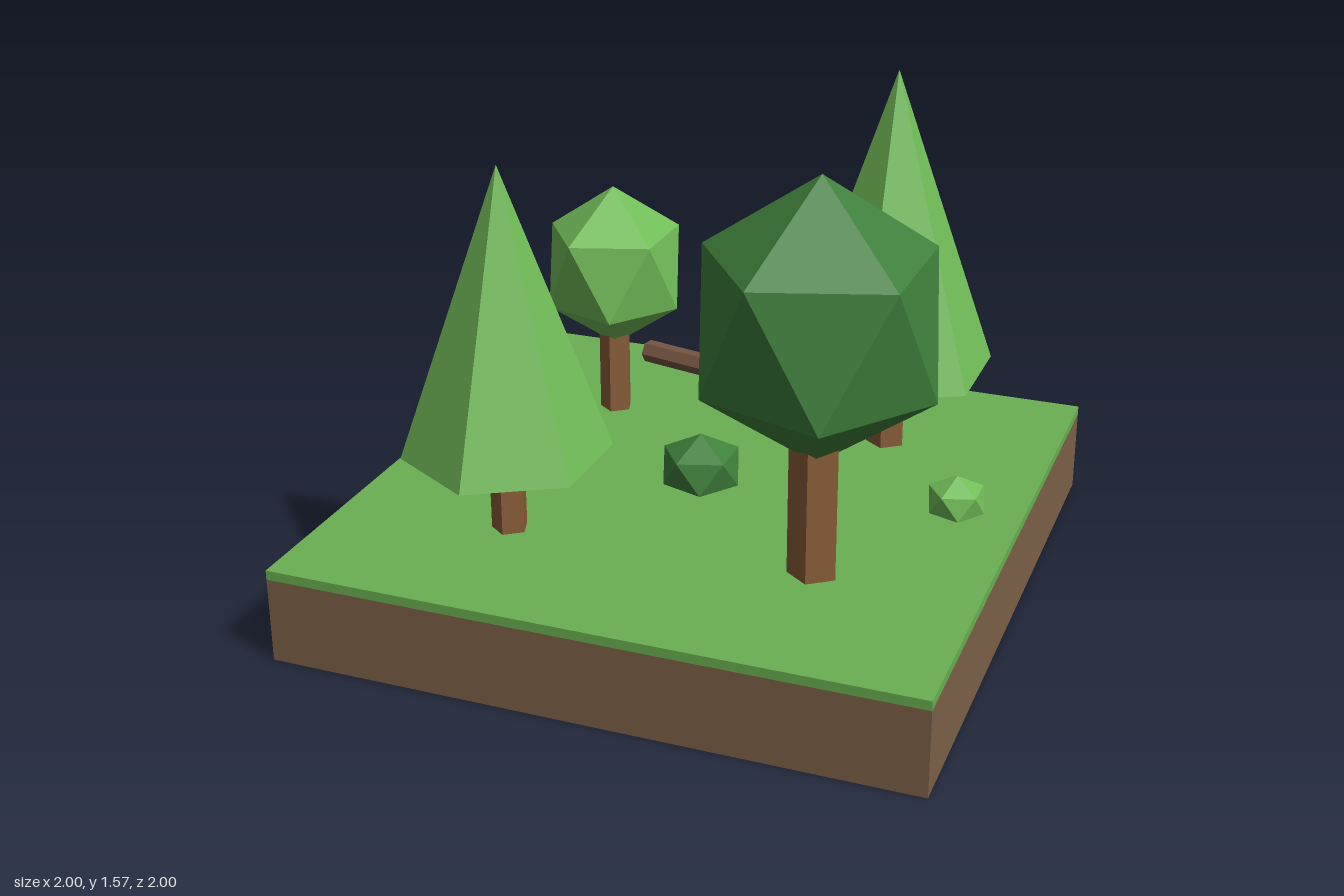
import * as THREE from 'three';

export function createModel() {
  const model = new THREE.Group();
  model.name = 'forestTile';

  const makeMaterial = (name, color) => {
    const m = new THREE.MeshStandardMaterial({ color, flatShading: true });
    m.name = name;
    return m;
  };
  const soil = makeMaterial('soil', 0x7d6148);
  const grass = makeMaterial('grass', 0x6ab052);
  const bark = makeMaterial('bark', 0x8a5e3a);
  const logBark = makeMaterial('logBark', 0x765542);
  const lightLeaf = makeMaterial('lightLeaf', 0x72bd59);
  const darkLeaf = makeMaterial('darkLeaf', 0x3f803c);

  const add = (parent, name, geometry, material, x, y, z) => {
    const mesh = new THREE.Mesh(geometry, material);
    mesh.name = name;
    mesh.position.set(x, y, z);
    parent.add(mesh);
    return mesh;
  };

  // Icosahedron standing on a corner, stretched vertically
  const leafBall = (radius, height) =>
    new THREE.IcosahedronGeometry(1, 0)
      .rotateZ(Math.atan(2 / (1 + Math.sqrt(5))))
      .scale(radius, height, radius);

  // Ground block
  const ground = 0.3;
  add(model, 'soilBlock', new THREE.BoxGeometry(2, 0.27, 2), soil, 0, 0.135, 0);
  add(model, 'grassLayer', new THREE.BoxGeometry(2, 0.03, 2), grass, 0, 0.285, 0);

  // Five-sided trunk with a crown on top
  const addTree = (name, x, z, trunkRadius, trunkTop, crown, material, crownY) => {
    const tree = new THREE.Group();
    tree.name = name;
    tree.position.set(x, 0, z);
    const h = trunkTop - ground;
    add(tree, 'trunk', new THREE.CylinderGeometry(trunkRadius, trunkRadius, h, 5), bark, 0, ground + h / 2, 0);
    add(tree, 'crown', crown, material, 0, crownY, 0);
    model.add(tree);
  };
  addTree('frontPine', -0.45, 0.5, 0.057, 0.57, new THREE.ConeGeometry(0.318, 0.895, 6), lightLeaf, 1.0025);
  addTree('backPine', 0.45, -0.5, 0.065, 0.6, new THREE.ConeGeometry(0.348, 0.985, 6), lightLeaf, 1.0725);
  addTree('largeRoundTree', 0.5, 0.45, 0.078, 0.75, leafBall(0.387, 0.43), darkLeaf, 1.082);
  addTree('smallRoundTree', -0.5, -0.45, 0.055, 0.6, leafBall(0.252, 0.28), lightLeaf, 0.815);

  // Bushes, slightly sunk into the grass
  add(model, 'darkBush', leafBall(0.138, 0.11), darkLeaf, 0, 0.38, 0.05);
  add(model, 'lightBush', leafBall(0.099, 0.079), lightLeaf, 0.8, 0.355, -0.05);

  // Fallen log lying at a slight angle
  const log = new THREE.CylinderGeometry(0.04, 0.04, 0.455, 6).rotateZ(Math.PI / 2);
  add(model, 'fallenLog', log, logBark, -0.325, 0.343, -0.802).rotation.y = -0.225;

  return model;
}
